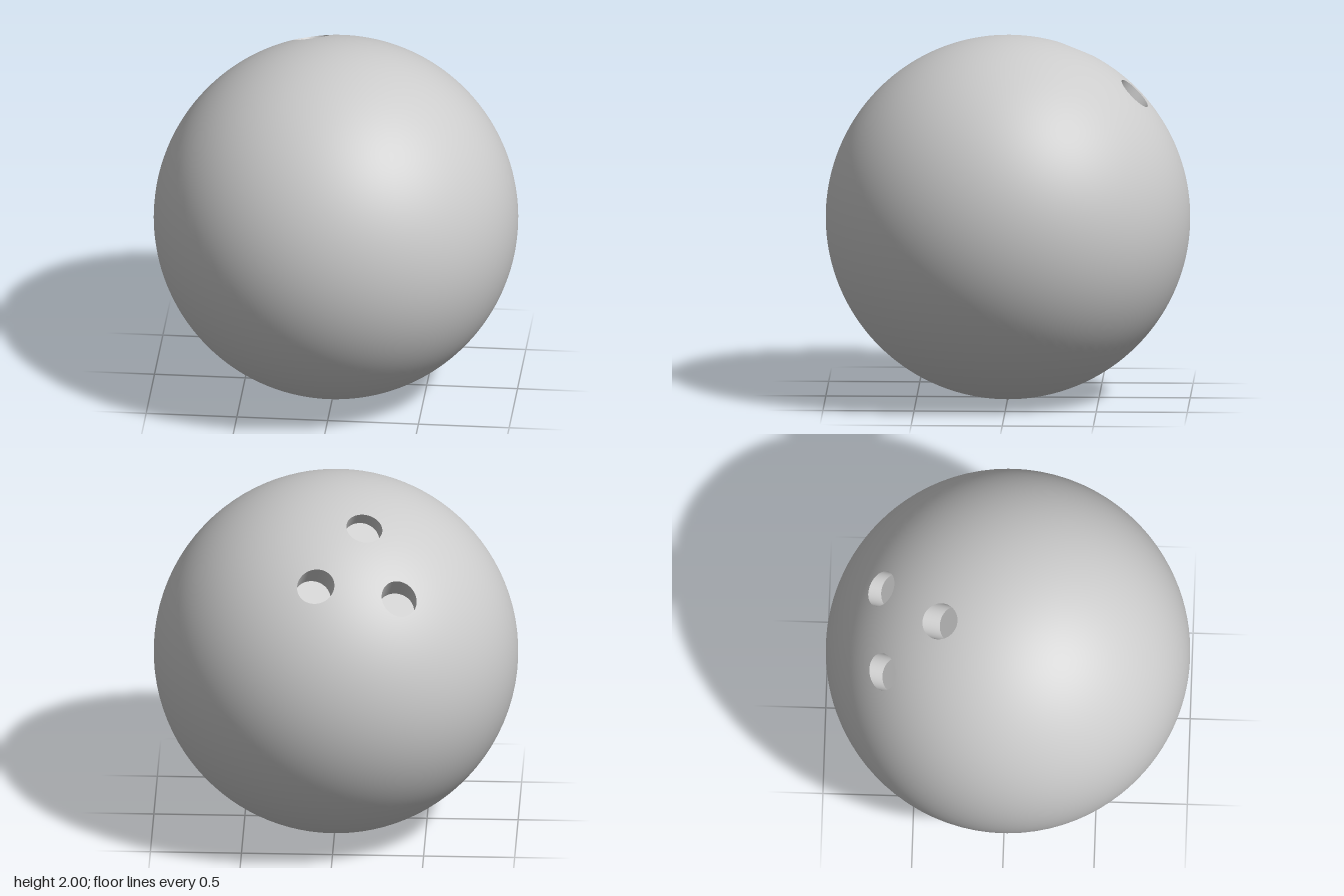
import * as THREE from 'three';

const HOLE_RADIUS = 0.1;
const HOLE_OFFSET = 0.268; // distance of each hole from the drilling axis
const FLOOR = 0.83; // height of the hole floors along the drilling axis
const CAP = 0.5; // radius of the drilled cap
const V = (x, y, z) => new THREE.Vector3(x, y, z);
const onSphere = (x, z) => V(x, Math.sqrt(1 - x * x - z * z), z);

// Skin over rows of points, with normals given by a rule
function loft(rows, normalAt) {
  const n = rows[0].length;
  const positions = [], normals = [], index = [];
  rows.forEach((row, k) => row.forEach((p, i) => {
    positions.push(p.x, p.y, p.z);
    normals.push(...normalAt(p).toArray());
    if (k < rows.length - 1 && i < n - 1) {
      const a = k * n + i;
      index.push(a, a + 1, a + n, a + 1, a + n + 1, a + n);
    }
  }));
  const geometry = new THREE.BufferGeometry();
  geometry.setAttribute('position', new THREE.Float32BufferAttribute(positions, 3));
  geometry.setAttribute('normal', new THREE.Float32BufferAttribute(normals, 3));
  geometry.setIndex(index);
  return geometry;
}

// Outline of a 120 degree sector of the cap, as [x, z]
function sectorOutline() {
  const points = [], edge = 24, arc = 32, half = Math.PI / 3;
  const polar = (r, t) => points.push([r * Math.cos(t), r * Math.sin(t)]);
  for (let i = 0; i < edge; i++) polar(CAP * i / edge, -half);
  for (let i = 0; i <= arc; i++) polar(CAP, half * (2 * i / arc - 1));
  for (let i = edge - 1; i >= 0; i--) polar(CAP * i / edge, half);
  return points;
}

export function createModel() {
  const model = new THREE.Group();
  model.name = 'bowlingBall';
  const material = new THREE.MeshStandardMaterial({ color: 0xcccccc, roughness: 0.6 });
  const add = (parent, name, geometry) => {
    const mesh = new THREE.Mesh(geometry, material);
    mesh.name = name;
    parent.add(mesh);
  };

  // Ball, with its pole turned to the drilling axis
  const ball = new THREE.Group();
  ball.name = 'ball';
  const axis = V(-0.159, 0.779, -0.606).normalize();
  const side = V(-0.017, 0.16, 0.21).projectOnPlane(axis).normalize();
  ball.quaternion.setFromRotationMatrix(
    new THREE.Matrix4().makeBasis(side, axis, side.clone().cross(axis)));
  ball.position.y = 1;
  model.add(ball);

  // Undrilled surface
  const start = Math.asin(CAP);
  add(ball, 'shell', new THREE.SphereGeometry(1, 96, 64, 0, Math.PI * 2, start, Math.PI - start));

  // One drilled sector: surface around the hole, wall and floor
  const outline = sectorOutline();
  const circle = outline.map(([x, z], i) => {
    const end = i === 0 || i === outline.length - 1;
    const t = end ? (i ? Math.PI : -Math.PI) : Math.atan2(z, x - HOLE_OFFSET);
    return [HOLE_OFFSET + HOLE_RADIUS * Math.cos(t), HOLE_RADIUS * Math.sin(t)];
  });
  const surfaceRows = [];
  for (let k = 0; k <= 10; k++) {
    surfaceRows.push(circle.map(([x, z], i) => onSphere(
      THREE.MathUtils.lerp(x, outline[i][0], k / 10),
      THREE.MathUtils.lerp(z, outline[i][1], k / 10))));
  }
  const floorRing = circle.map(([x, z]) => V(x, FLOOR, z));
  const floorCentre = circle.map(() => V(HOLE_OFFSET, FLOOR, 0));

  const surface = loft(surfaceRows, (p) => p.clone().normalize());
  const wall = loft([floorRing, surfaceRows[0]], (p) => V(HOLE_OFFSET - p.x, 0, -p.z).normalize());
  const floor = loft([floorCentre, floorRing], () => V(0, 1, 0));

  // Three equal sectors around the axis
  ['thumbHole', 'fingerHoleA', 'fingerHoleB'].forEach((name, i) => {
    const sector = new THREE.Group();
    sector.name = name;
    sector.rotation.y = i * Math.PI * 2 / 3;
    add(sector, 'surfaceAroundHole', surface);
    add(sector, 'holeWall', wall);
    add(sector, 'holeFloor', floor);
    ball.add(sector);
  });
  return model;
}
